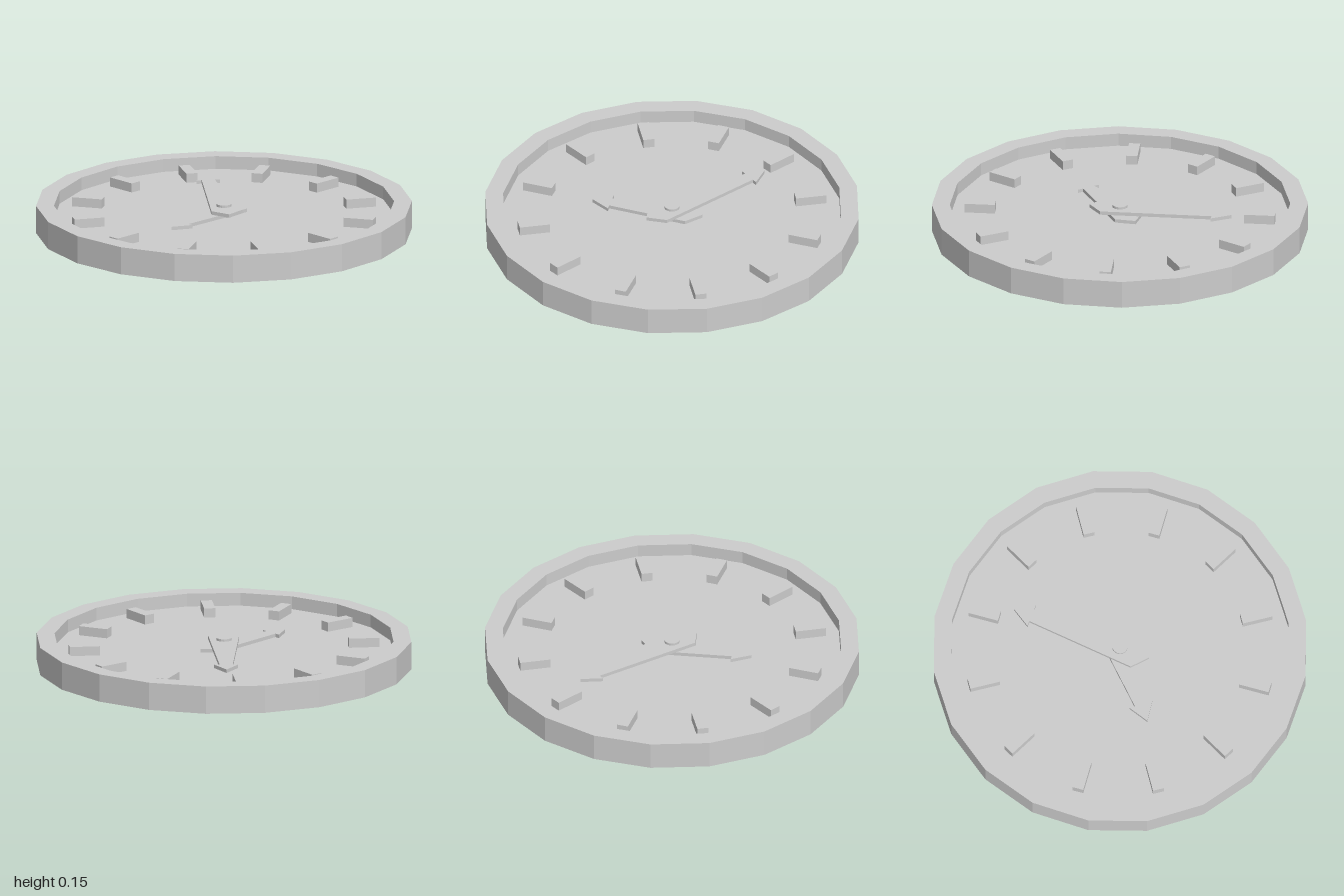
import * as THREE from 'three';

const grey = new THREE.MeshStandardMaterial({ color: 0xcccccc, flatShading: true });
grey.name = 'light grey';

const FLOOR = 0.08; // height of the dial inside the rim

function part(name, geometry) {
  const mesh = new THREE.Mesh(geometry, grey);
  mesh.name = name;
  return mesh;
}

// Arrow-tipped hand lying flat, pointing to -z before it is turned
function hand(name, neck, tip, bottom, degrees) {
  const half = [[0.083, -0.092], [0.035, neck], [0.064, neck]];
  const outline = [
    [0, -0.166], ...half, [0, tip],
    ...half.map(([x, y]) => [-x, y]).reverse(),
  ];
  const shape = new THREE.Shape(outline.map(([x, y]) => new THREE.Vector2(x, y)));
  const geometry = new THREE.ExtrudeGeometry(shape, { depth: 0.019, bevelEnabled: false });
  geometry.rotateX(-Math.PI / 2);
  const mesh = part(name, geometry);
  mesh.position.y = bottom;
  mesh.rotation.y = THREE.MathUtils.degToRad(degrees);
  return mesh;
}

export function createModel() {
  const clock = new THREE.Group();
  clock.name = 'wallClock';

  // Twenty-sided case: back, outer wall, rim, inner wall and dial
  const profile = [[0, 0], [1, 0], [1, 0.15], [0.905, 0.15], [0.905, FLOOR], [0, FLOOR]];
  clock.add(part('case', new THREE.LatheGeometry(
    profile.map(([r, y]) => new THREE.Vector2(r, y)), 20)));

  // Twelve hour markers
  const markers = new THREE.Group();
  markers.name = 'hourMarkers';
  const block = new THREE.BoxGeometry(0.06, 0.05, 0.163);
  block.translate(0, FLOOR + 0.025, -0.747);
  for (let i = 0; i < 12; i++) {
    const marker = part('hourMarker', block);
    marker.rotation.y = -i * Math.PI / 6;
    markers.add(marker);
  }
  clock.add(markers);

  // Hands, the long one above the short one
  clock.add(hand('hourHand', 0.335, 0.435, 0.098, 155.2));
  clock.add(hand('minuteHand', 0.502, 0.603, 0.118, 24.8));

  // Centre pin through both hands
  const pin = new THREE.CylinderGeometry(0.041, 0.041, 0.07, 16);
  pin.translate(0, FLOOR + 0.035, 0);
  clock.add(part('centrePin', pin));

  return clock;
}
